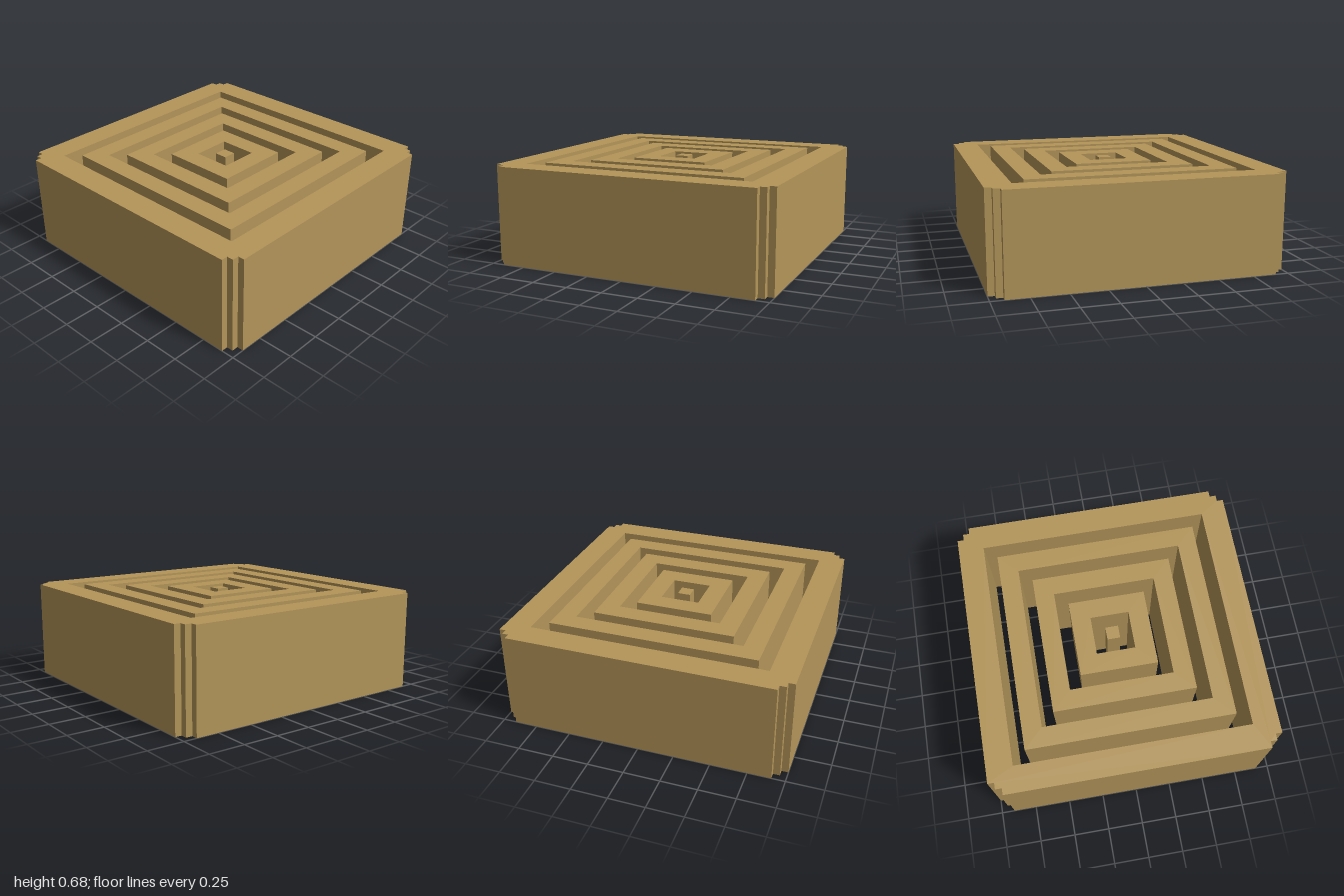
import * as THREE from 'three';

const U = 1 / 22; // grid unit of the plan
const HEIGHT = 15 * U;

// Closed square outline, half-size in units
const square = (h) => [[-h, -h], [h, -h], [h, h], [-h, h]];

// Square outline whose corners are cut back in two small steps
function steppedSquare(h) {
  const corner = [[h, h - 2], [h - 1, h - 2], [h - 1, h - 1], [h - 2, h - 1], [h - 2, h]];
  const points = [];
  for (let i = 0; i < 4; i++) {
    for (const [x, y] of corner) {
      points.push([[x, y], [-y, x], [-x, -y], [y, -x]][i]);
    }
  }
  return points;
}

const toVectors = (points) => points.map(([x, y]) => new THREE.Vector2(x * U, y * U));

// Upright wall extruded from an outline, with an optional square hole
function wall(name, outline, holeHalf, material) {
  const shape = new THREE.Shape(toVectors(outline));
  if (holeHalf) shape.holes.push(new THREE.Path(toVectors(square(holeHalf))));
  const geometry = new THREE.ExtrudeGeometry(shape, { depth: HEIGHT, bevelEnabled: false });
  geometry.rotateX(-Math.PI / 2);
  const mesh = new THREE.Mesh(geometry, material);
  mesh.name = name;
  return mesh;
}

export function createModel() {
  const model = new THREE.Group();
  model.name = 'nestedSquares';
  const tan = new THREE.MeshStandardMaterial({ color: 0xb39559 });
  tan.name = 'tan';

  // Outer frame with stepped corners
  model.add(wall('outerFrame', steppedSquare(22), 18, tan));

  // Three nested square rings, open right through between them
  [16, 11, 6].forEach((h, i) => model.add(wall(`ring${i + 1}`, square(h), h - 3, tan)));

  // Solid centre post
  model.add(wall('centrePost', square(1), 0, tan));
  return model;
}
